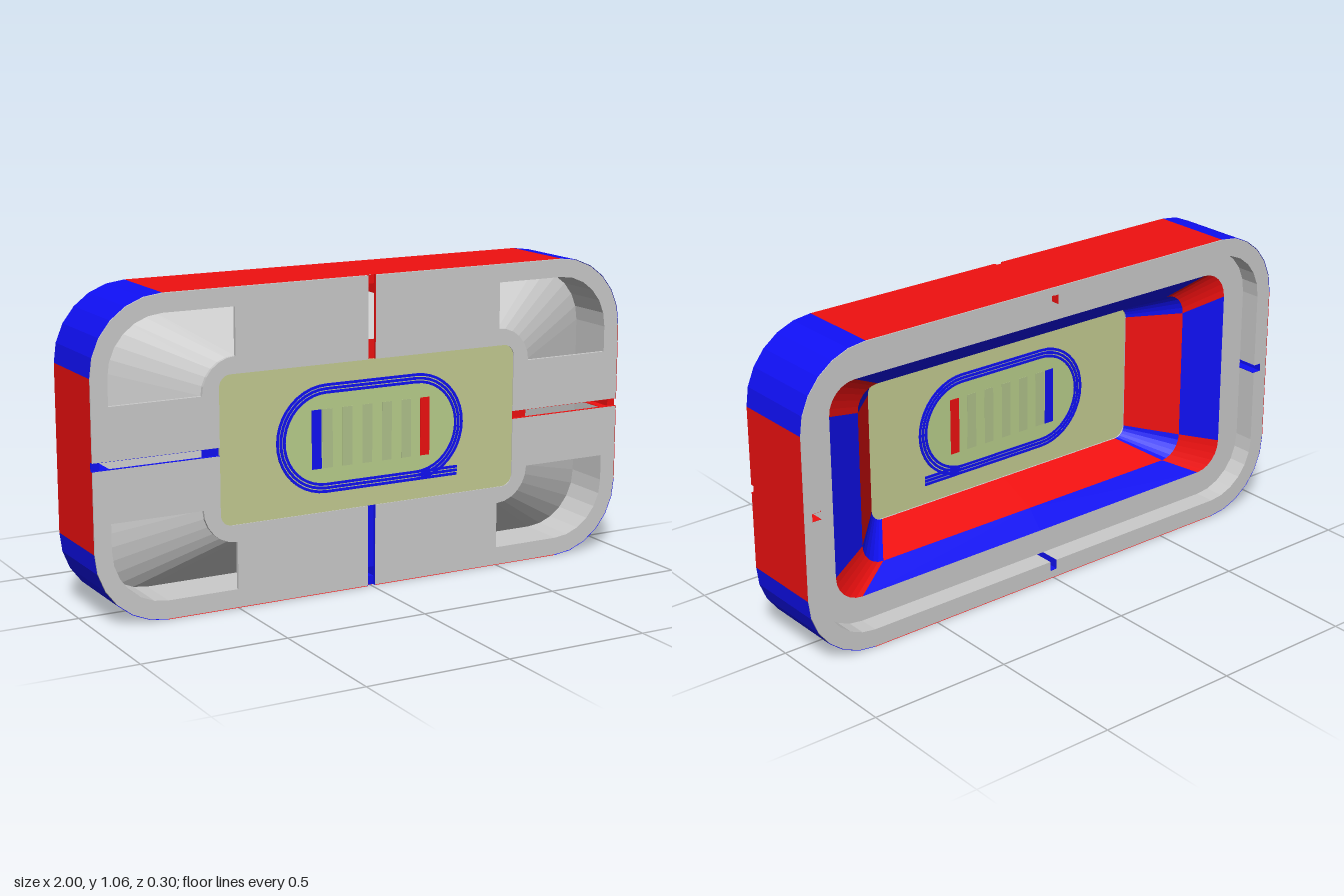
import * as THREE from 'three';

const RED = 0xf01010, BLUE = 0x1010f5, GREY = 0xcccccc;
const CY = 0.532;   // centre height
const G = 0.014;    // half width of the cable grooves
const FRONT = 0.15, PLATE = 0.138, BACK = -0.15, LEDGE = -0.077;

const materials = {};
function mat(color) {
  materials[color] ??= new THREE.MeshStandardMaterial({ color, flatShading: true, side: THREE.DoubleSide });
  return materials[color];
}

function add(parent, name, geometry, color) {
  const mesh = new THREE.Mesh(geometry, mat(color));
  mesh.name = name;
  parent.add(mesh);
  return mesh;
}

// Quarter of a rounded rectangle, from the x axis round to the y axis
function quarter(hx, hy, r, gap = 0, n = 6) {
  const pts = [[hx, gap]];
  for (let i = 0; i <= n; i++) {
    const a = (i / n) * Math.PI / 2;
    pts.push([hx - r + r * Math.cos(a), hy - r + r * Math.sin(a)]);
  }
  pts.push([gap, hy]);
  return pts;
}

// Whole rounded rectangle
function loop(hx, hy, r, n = 6) {
  const q = quarter(hx, hy, r, 0, n).slice(1, -1), rev = [...q].reverse();
  return [...q, ...rev.map(([x, y]) => [-x, y]), ...q.map(([x, y]) => [-x, -y]), ...rev.map(([x, y]) => [x, -y])];
}

const vec = pts => pts.map(([x, y]) => new THREE.Vector2(x, y));

function slab(outline, z0, z1, hole) {
  const shape = new THREE.Shape(vec(outline));
  if (hole) shape.holes.push(new THREE.Path(vec(hole)));
  return new THREE.ExtrudeGeometry(shape, { depth: z1 - z0, bevelEnabled: false }).translate(0, 0, z0);
}

// Loft between two quarter outlines; straight runs and corners get their own colour
function band(parent, name, a, za, b, zb, straight, corner) {
  const runs = { Sides: [], Corner: [] };
  for (let i = 0; i < a.length - 1; i++) {
    const run = i === 0 || i === a.length - 2 ? runs.Sides : runs.Corner;
    const p = [...a[i], za], q = [...a[i + 1], za], s = [...b[i + 1], zb], t = [...b[i], zb];
    run.push(...p, ...q, ...s, ...p, ...s, ...t);
  }
  for (const key in runs) {
    const g = new THREE.BufferGeometry();
    g.setAttribute('position', new THREE.Float32BufferAttribute(runs[key], 3));
    g.computeVertexNormals();
    add(parent, name + key, g, key === 'Sides' ? straight : corner);
  }
}

function buildQuarter(sx, sy) {
  const group = new THREE.Group();
  group.name = 'stadiumQuarter';
  const flip = pts => pts.map(([x, y]) => [x * sx, y * sy]);
  const q = (...args) => flip(quarter(...args));

  // Outer facade, notched at the front where the grooves come out
  const facade = q(1, CY, 0.25), facadeFront = q(1, CY, 0.25, G);
  band(group, 'facade', facade, BACK, facade, PLATE, RED, BLUE);
  band(group, 'facadeFront', facadeFront, PLATE, facadeFront, FRONT, RED, BLUE);

  // Thick outer wall with cable notches on its inside
  const inner = quarter(0.94, 0.468, 0.19, G);
  const wall = [...quarter(0.998, CY - 0.002, 0.248), [0, 0.502], [G, 0.502], ...inner.reverse(), [0.97, G], [0.97, 0]];
  add(group, 'outerWall', slab(flip(wall), BACK, PLATE), GREY);

  // Front plate with a corner window
  const plate = [...quarter(0.998, CY - 0.002, 0.248, G), ...quarter(0.56, 0.25, 0.04, G).reverse()];
  const bump = quarter(0.62, 0.308, 0.12).slice(1, -1);
  const windowHole = [[0.5, 0.468], ...quarter(0.94, 0.468, 0.19).slice(1, -1).reverse(), [0.94, 0.188], ...bump];
  add(group, 'frontPlate', slab(flip(plate), PLATE, FRONT, flip(windowHole)), GREY);

  // Inner ledge, two seating tiers and the lip round the field
  const top = q(0.845, 0.38, 0.1), mid = q(0.7, 0.315, 0.08), low = q(0.56, 0.25, 0.04);
  band(group, 'ledge', q(0.94, 0.468, 0.19), LEDGE, top, LEDGE, GREY, GREY);
  band(group, 'upperTier', top, LEDGE, mid, -0.02, BLUE, RED);
  band(group, 'lowerTier', mid, -0.02, low, 0.125, RED, BLUE);
  band(group, 'fieldLip', low, 0.125, low, PLATE, GREY, GREY);

  // Sloped underside of the stands
  band(group, 'standUnderside', q(0.62, 0.308, 0.12), PLATE, q(0.94, 0.468, 0.19), -0.02, GREY, GREY);
  return group;
}

// Coloured lining of one groove, built along +x then turned
function buildGroove(angle, color, start, floorEnd, edge) {
  const group = new THREE.Group();
  group.name = 'groove';
  const box = (name, x0, x1, y, h, z0, z1) => add(group, name,
    new THREE.BoxGeometry(x1 - x0, h, z1 - z0).translate((x0 + x1) / 2, y, (z0 + z1) / 2), color);
  box('grooveFloor', start, floorEnd, 0, 2 * G, PLATE - 0.003, PLATE + 0.001);
  box('grooveEnd', edge - 0.03, edge - 0.001, 0, 2 * G, PLATE - 0.003, PLATE + 0.001);
  box('notchBack', edge - 0.031, edge - 0.029, 0, 2 * G, BACK, PLATE);
  for (const s of [-1, 1]) {
    box('grooveSide', start, edge, s * G, 0.002, PLATE, FRONT - 0.0005);
    box('notchSide', edge - 0.063, edge - 0.03, s * G, 0.002, BACK + 0.0005, PLATE);
  }
  group.rotation.z = angle;
  return group;
}

function buildField() {
  const group = new THREE.Group();
  group.name = 'field';
  // Each layer stands slightly proud on both faces of the one below it
  const layer = (name, color, level, outline, hole) =>
    add(group, name, slab(outline, 0.13 - level * 0.001, 0.147 + level * 0.001, hole), color);
  const rect = (x0, x1, y0, y1) => [[x0, y0], [x1, y0], [x1, y1], [x0, y1]];

  layer('turf', 0xc5cd92, 0, loop(0.56, 0.25, 0.04));
  layer('infield', 0xbad08c, 1, loop(0.325, 0.155, 0.155, 10));
  for (let i = 0; i < 5; i++) {
    const x = -0.185 + i * 0.075;
    layer('pitchStripe', 0xb2c48c, 2, rect(x, x + 0.037, -0.1, 0.1));
  }
  layer('blueEnd', BLUE, 3, rect(-0.226, -0.19, -0.1, 0.1));
  layer('redEnd', RED, 3, rect(0.188, 0.224, -0.1, 0.1));

  // Running track lines with the straight run-off
  for (let i = 0; i < 3; i++) {
    const o = i * 0.0125, w = 0.009;
    layer('trackLine', BLUE, 3,
      loop(0.357 - o, 0.185 - o, 0.185 - o, 10), loop(0.357 - o - w, 0.185 - o - w, 0.185 - o - w, 10));
    layer('runOff', BLUE, 3, rect(0.17, 0.335, -0.185 + o, -0.185 + o + w));
  }
  return group;
}

export function createModel() {
  const model = new THREE.Group();
  model.name = 'stadium';
  const body = new THREE.Group();
  body.name = 'stadiumBody';
  body.position.y = CY;
  model.add(body);

  for (const sx of [1, -1]) for (const sy of [1, -1]) body.add(buildQuarter(sx, sy));
  body.add(
    buildGroove(0, RED, 0.56, 0.62, 1),
    buildGroove(Math.PI / 2, RED, 0.25, 0.315, CY),
    buildGroove(Math.PI, BLUE, 0.56, 0.62, 1),
    buildGroove(-Math.PI / 2, BLUE, 0.25, 0.468, CY),
    buildField(),
  );
  return model;
}
